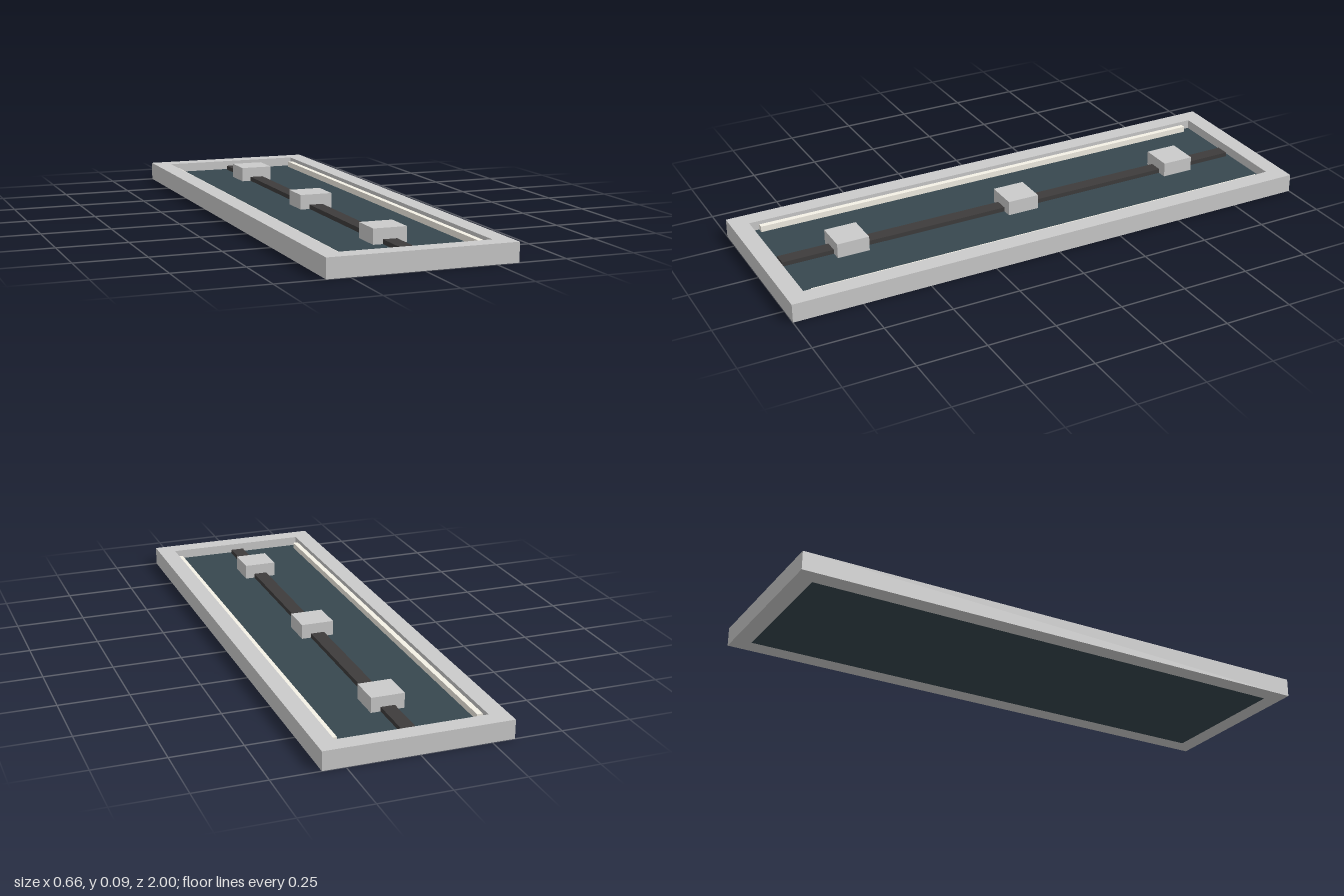
import * as THREE from 'three';

export function createModel() {
  const model = new THREE.Group();
  const paint = (color) => new THREE.MeshStandardMaterial({ color });
  const grey = paint(0xcccccc);
  const slate = paint(0x37474f);
  const charcoal = paint(0x3e3c3c);
  const cream = paint(0xf5f1e6);

  // Box given by its size, the height of its base and its centre
  function addBox(name, material, w, h, d, x, base, z) {
    const mesh = new THREE.Mesh(new THREE.BoxGeometry(w, h, d), material);
    mesh.name = name;
    mesh.position.set(x, base + h / 2, z);
    model.add(mesh);
  }

  const rectangle = (PathType, a, b) => new PathType([
    new THREE.Vector2(-a, -b), new THREE.Vector2(a, -b),
    new THREE.Vector2(a, b), new THREE.Vector2(-a, b),
  ]);

  // Rectangular frame with an open middle
  const outline = rectangle(THREE.Shape, 0.33, 1);
  outline.holes.push(rectangle(THREE.Path, 0.265, 0.935));
  const frameGeometry = new THREE.ExtrudeGeometry(outline, { depth: 0.068, bevelEnabled: false });
  frameGeometry.rotateX(-Math.PI / 2);
  const frame = new THREE.Mesh(frameGeometry, grey);
  frame.name = 'frame';
  model.add(frame);

  // Floor panel filling the frame
  addBox('floorPanel', slate, 0.53, 0.034, 1.87, 0, 0, 0);

  // Pale strips along both long sides
  for (const side of [-1, 1]) {
    addBox(side > 0 ? 'leftStrip' : 'rightStrip', cream, 0.02, 0.022, 1.8, side * 0.252, 0.034, 0);
  }

  // Central rail and the blocks on it
  addBox('centreRail', charcoal, 0.05, 0.016, 1.84, 0, 0.034, 0);
  for (const z of [-0.67, 0, 0.67]) {
    addBox('railBlock', grey, 0.12, 0.054, 0.12, 0, 0.034, z);
  }

  return model;
}
